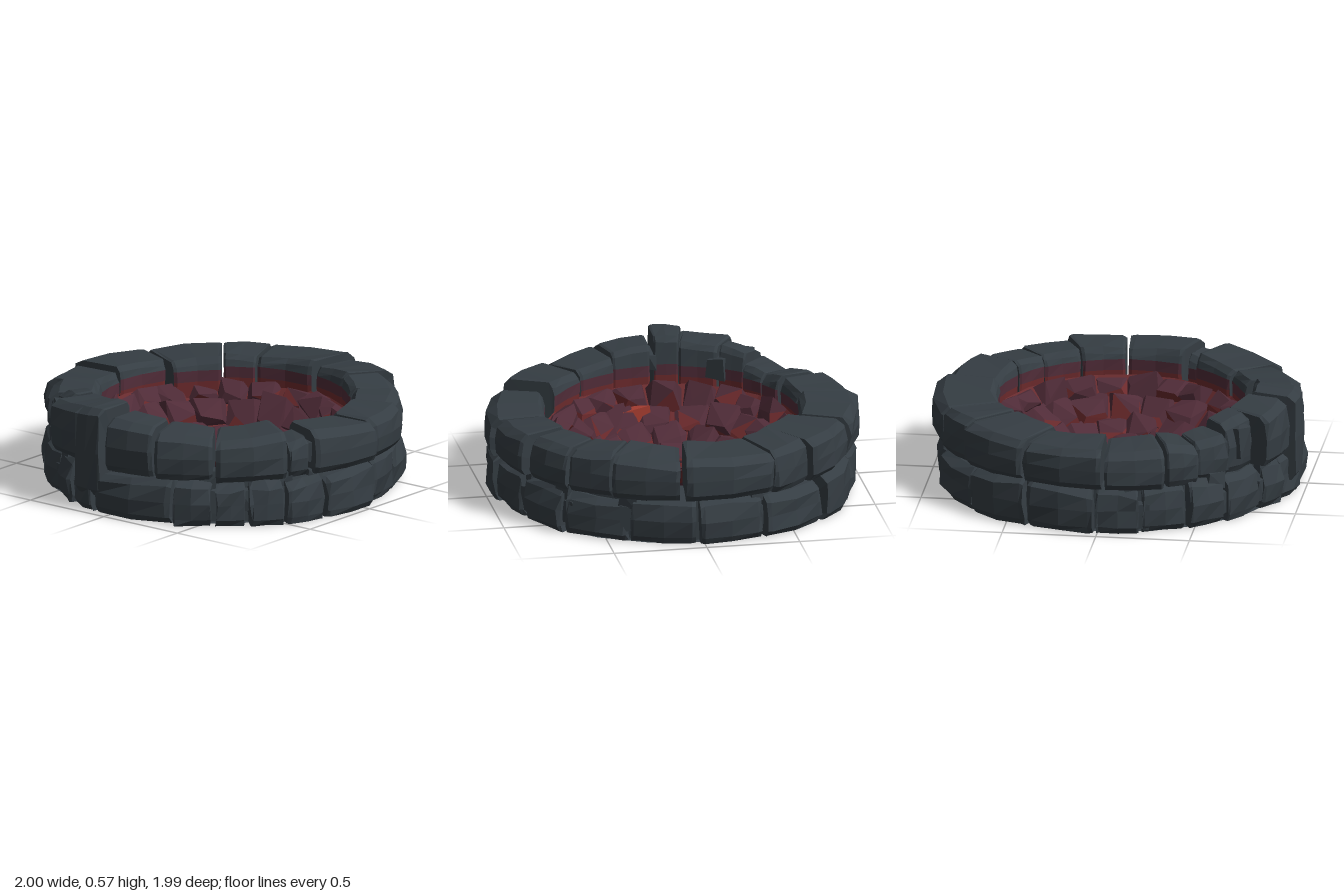
import * as THREE from 'three';
import { mergeGeometries } from 'three/addons/utils/BufferGeometryUtils.js';
import { ConvexGeometry } from 'three/addons/geometries/ConvexGeometry.js';

let seed = 7;
const rnd = () => {
  seed = (seed * 16807) % 2147483647;
  return seed / 2147483647;
};
const jit = (s) => (rnd() - 0.5) * 2 * s;
const DEG = Math.PI / 180;
const polar = (r, a, y) => new THREE.Vector3(r * Math.cos(a), y, r * Math.sin(a));

function mat(name, color, side = THREE.FrontSide) {
  const m = new THREE.MeshStandardMaterial({ color, side });
  m.name = name;
  return m;
}

// Flat-shaded geometry from lists of triangle corners, one material group per list
function facets(lists) {
  const geo = new THREE.BufferGeometry().setFromPoints(lists.flat());
  let start = 0;
  lists.forEach((list, g) => {
    geo.addGroup(start, list.length, g);
    start += list.length;
  });
  geo.computeVertexNormals();
  return geo;
}

// Ring stone: a blocky (r, y) section swept over an angle.
// Groups: 0 stone, 1 maroon band, 2 red band on the inner face.
function ringStone(a0, a1, ri, ro, y0, y1, wobble) {
  const h = y1 - y0;
  const red = Math.max(y0 + 0.04, Math.min(0.36, y1 - 0.12));
  const section = [
    [ri + 0.01, y0], [ri, red], [ri, Math.min(red + 0.06, y1 - 0.05)], [ri + 0.01, y1 - 0.03], [ri + 0.035, y1],
    [ro - 0.06, y1 - 0.005], [ro - 0.012, y1 - 0.04], [ro, y0 + h * 0.5], [ro - 0.006, y0 + 0.035], [ro - 0.03, y0],
  ];
  const n = section.length;
  const cr = (ri + ro) / 2, cy = (y0 + y1) / 2;
  const stops = [[0, 0.93], [0.06, 0.99], [0.5, 1], [0.94, 0.99], [1, 0.93]];
  const slant = jit(0.016), lean = jit(0.03), pitch = jit(0.012);
  const rows = stops.map(([t, k]) => section.map(([r, y], j) => {
    const calm = j < 4 ? 0.3 : 1;
    const outer = r > cr ? slant * (t - 0.5) * 2 + pitch * ((y - cy) / h) : 0;
    const rr = cr + (r - cr) * k + outer + jit(wobble) * calm;
    let yy = cy + (y - cy) * (k * 0.5 + 0.5);
    if (y > cy && j > 2) yy += lean * (t - 0.5) + jit(wobble * 0.6);
    if (y === y0) yy = y0;
    return polar(Math.min(rr, 1), a0 + (a1 - a0) * t + jit(wobble * 0.5), yy);
  }));
  const faces = [[], [], []];
  for (let i = 0; i < rows.length - 1; i++) {
    for (let j = 0; j < n; j++) {
      const k = (j + 1) % n;
      const out = faces[j === 0 ? 2 : j === 1 ? 1 : 0];
      out.push(rows[i][j], rows[i + 1][j], rows[i + 1][k], rows[i][j], rows[i + 1][k], rows[i][k]);
    }
  }
  const last = rows[rows.length - 1];
  for (let j = 1; j < n - 1; j++) {
    faces[0].push(rows[0][0], rows[0][j], rows[0][j + 1], last[0], last[j + 1], last[j]);
  }
  return facets(faces);
}

// Small broken stone: convex hull of a jittered box (radial, vertical, tangential half sizes).
function rubble(r, deg, y, sx, sy, sz) {
  const pts = [];
  for (const x of [-1, 1]) for (const v of [-1, 1]) for (const z of [-1, 1]) {
    pts.push(new THREE.Vector3(x * sx * (0.85 + jit(0.2)), v * sy * (0.85 + jit(0.2)), z * sz * (0.8 + jit(0.25))));
  }
  const geo = new ConvexGeometry(pts);
  geo.rotateY(-deg * DEG);
  const c = polar(r, deg * DEG, y);
  return geo.translate(c.x, c.y, c.z);
}

export function createModel() {
  const group = new THREE.Group();
  const stone = mat('charcoal stone', 0x353d43);
  const maroon = mat('maroon rock', 0x502c38);
  const red = mat('red glow rock', 0x6e2b2d);
  const ember = mat('ember', 0x9c392d);
  const crevice = mat('red crevice', 0x682b2e, THREE.DoubleSide);
  const base = mat('base stone', 0x353d43, THREE.DoubleSide);
  const add = (name, geo, m) => {
    const mesh = new THREE.Mesh(geo, m);
    mesh.name = name;
    group.add(mesh);
  };

  // Upper ring: start angle, end angle, inner radius, outer radius, bottom, top
  [
    [-4, 20.5, 0.68, 0.995, 0.25, 0.47], [22, 29, 0.72, 0.955, 0.24, 0.44], [30, 53, 0.65, 0.985, 0.24, 0.48],
    [54.5, 73, 0.66, 0.965, 0.24, 0.48], [74.5, 91, 0.7, 0.965, 0.24, 0.52], [93, 103, 0.72, 0.998, 0.09, 0.57],
    [103.5, 120, 0.69, 0.975, 0.25, 0.54], [121, 133, 0.7, 0.89, 0.24, 0.53], [134, 145, 0.67, 0.91, 0.24, 0.46],
    [146, 157, 0.66, 0.94, 0.24, 0.46], [158.5, 177.5, 0.67, 0.995, 0.25, 0.46], [178.5, 204.5, 0.67, 0.995, 0.25, 0.47],
    [206, 230.5, 0.6, 0.98, 0.24, 0.47], [231.5, 246.5, 0.63, 0.975, 0.24, 0.48], [247, 276, 0.65, 0.998, 0.25, 0.48],
    [278, 299.5, 0.67, 0.985, 0.25, 0.48], [300.5, 316, 0.67, 0.94, 0.24, 0.48], [317, 334.5, 0.68, 0.95, 0.24, 0.47],
    [335.5, 354.5, 0.68, 0.985, 0.25, 0.47],
  ].forEach(([a, b, ri, ro, y0, y1], i) => {
    add(`upperStone${i + 1}`, ringStone(a * DEG, b * DEG, ri, ro, y0, y1, 0.008), [stone, maroon, red]);
  });

  // Lower ring: irregular stones between these joints, on a slightly oval outline
  const joints = [-5, 17, 31, 43, 54, 67, 96, 108, 119, 136, 150, 166, 181, 204, 226, 250, 272, 295, 318, 338, 355];
  for (let i = 0; i < joints.length - 1; i++) {
    const ro = 0.97 + 0.028 * Math.sin((joints[i] + joints[i + 1]) * DEG) + jit(0.012);
    const geo = ringStone((joints[i] + 0.7) * DEG, (joints[i + 1] - 0.7) * DEG, 0.72, ro, 0, 0.245 + jit(0.015), 0.014);
    add(`lowerStone${i + 1}`, geo, [stone, stone, stone]);
  }

  // Rubble wedged into the joints
  const chips = [];
  for (const deg of [17, 31, 43, 54, 119, 136, 166, 204, 250, 295, 318, 338]) {
    chips.push(rubble(0.88, deg, 0.08 + rnd() * 0.05, 0.06, 0.075, 0.05));
    chips.push(rubble(0.86, deg + jit(3), 0.22 + rnd() * 0.03, 0.07, 0.05, 0.06));
  }
  chips.push(rubble(0.8, 92, 0.43, 0.09, 0.05, 0.035), rubble(0.72, 120, 0.42, 0.06, 0.07, 0.06));
  chips.push(rubble(0.84, 21.5, 0.36, 0.09, 0.06, 0.04), rubble(0.86, 126, 0.4, 0.06, 0.1, 0.06));
  add('rubble', mergeGeometries(chips), stone);

  // Base plate with the central hole, and the wall behind the lower stones
  const lathe = (pts, seg) => {
    const g = new THREE.LatheGeometry(pts.map(([x, y]) => new THREE.Vector2(x, y)), seg).toNonIndexed();
    g.computeVertexNormals();
    return g;
  };
  add('basePlate', lathe([[0.24, 0.002], [0.92, 0.002]], 20), base);
  add('backingWall', lathe([[0.88, 0.002], [0.88, 0.24], [0.71, 0.25]], 36), base);

  // Bowl lining
  const bowl = [[0.24, 0.0], [0.26, 0.03], [0.38, 0.07], [0.5, 0.15], [0.6, 0.25], [0.67, 0.33]];
  add('bowlLining', lathe(bowl, 20), crevice);

  // Broken rocks covering the bowl in staggered rows, some with glowing flanks
  const curve = new THREE.CatmullRomCurve3(bowl.slice(1).map(([r, y]) => new THREE.Vector3(r, y, 0)));
  const at = (t) => curve.getPoint(THREE.MathUtils.clamp(t, 0, 1));
  const tops = [], flanks = [];
  [[0.0, 0.28, 11], [0.22, 0.5, 16], [0.45, 0.76, 19], [0.7, 1, 23]].forEach(([t0, t1, count], row) => {
    for (let i = 0; i < count; i++) {
      const step = (Math.PI * 2) / count;
      const mid = (i + row * 0.4) * step + jit(step * 0.16);
      const lift = 0.02 + rnd() * 0.04;
      const pts = [];
      for (const s of [-1, 1]) for (const t of [t0, t1]) {
        const p = at(t + jit(0.06));
        pts.push(polar(p.x, mid + s * step * (0.54 + jit(0.06)), p.y - 0.01));
        const q = at(t0 + (t1 - t0) * (t === t0 ? rnd() * 0.35 : 0.6 + rnd() * 0.4));
        const up = lift * (0.3 + rnd() * 1.2);
        const inward = up * (row > 1 ? 0.8 : 0.2);
        pts.push(polar(Math.max(q.x - inward, 0.25), mid + s * step * (0.22 + rnd() * 0.26), q.y + up));
      }
      const pos = new ConvexGeometry(pts).attributes.position;
      const slope = at((t0 + t1) / 2).y;
      for (let v = 0; v < pos.count; v += 3) {
        const tri = [0, 1, 2].map((k) => new THREE.Vector3().fromBufferAttribute(pos, v + k));
        const low = tri.reduce((sum, p) => sum + p.y / 3, 0) < slope;
        (low && rnd() < 0.45 ? flanks : tops).push(...tri);
      }
    }
  });
  add('bowlRocks', facets([tops, flanks]), [maroon, red]);

  // Glowing upright face in the front of the bowl
  add('emberRock', rubble(0.545, 78, 0.19, 0.035, 0.075, 0.1), ember);

  return group;
}
